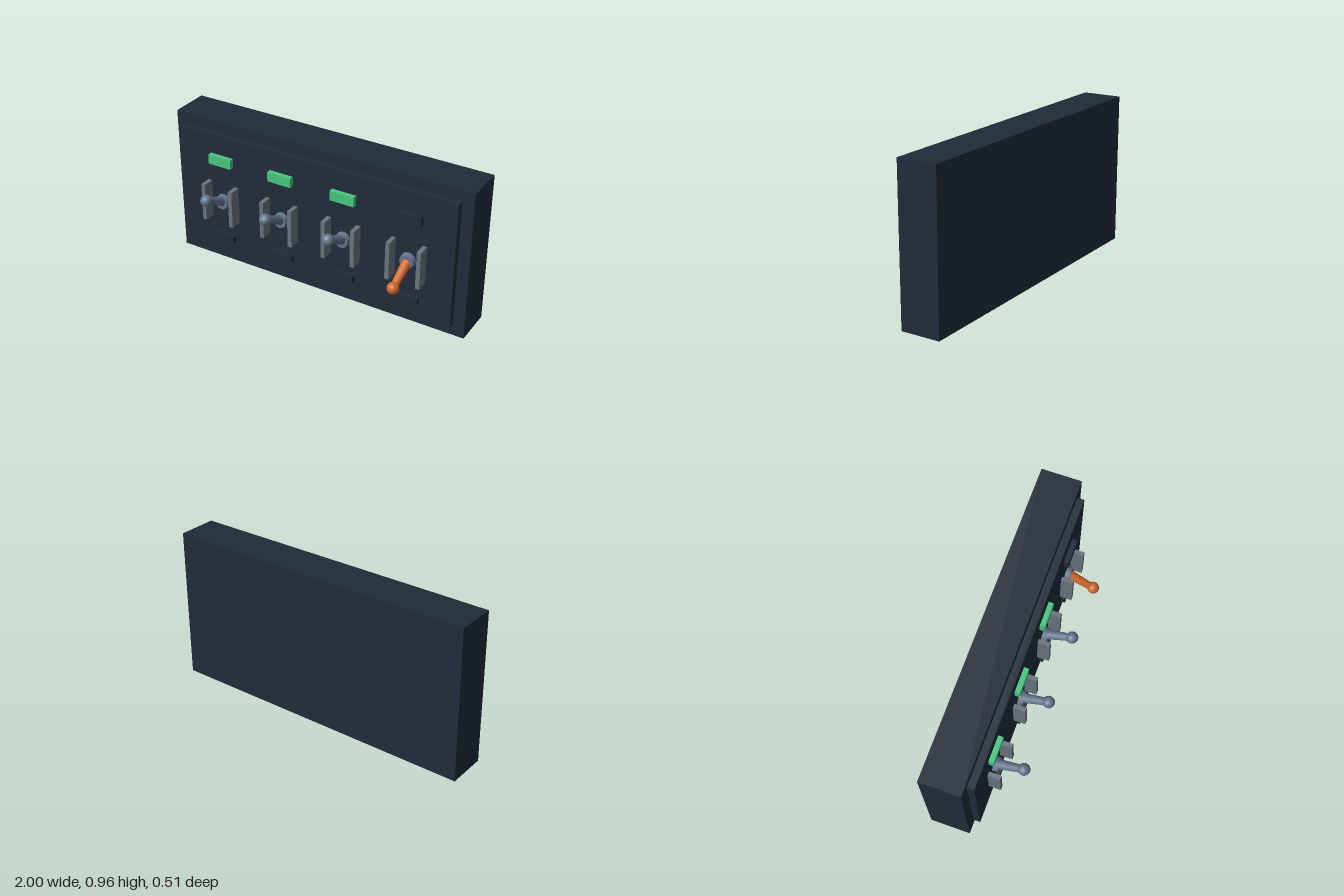
import * as THREE from 'three';

const mat = (name, color) => {
  const m = new THREE.MeshStandardMaterial({ color });
  m.name = name;
  return m;
};

export function createModel() {
  const panel = mat('dark panel', 0x202b39);
  const guardGrey = mat('guard grey', 0x69737f);
  const steel = mat('lever steel', 0x64748b);
  const green = mat('lit green', 0x46c57f);
  const orange = mat('lever orange', 0xd0662a);

  const root = new THREE.Group();
  root.name = 'switchPanel';

  const add = (parent, name, geometry, material, x = 0, y = 0, z = 0) => {
    const mesh = new THREE.Mesh(geometry, material);
    mesh.name = name;
    mesh.position.set(x, y, z);
    parent.add(mesh);
    return mesh;
  };
  // Box given by its centre in x and its extents in y and z
  const slab = (parent, name, material, x, w, y0, y1, z0, z1) =>
    add(parent, name, new THREE.BoxGeometry(w, y1 - y0, z1 - z0), material, x, (y0 + y1) / 2, (z0 + z1) / 2);

  // Housing and raised face plate
  slab(root, 'housing', panel, 0, 2, 0, 0.965, -0.255, -0.005);
  slab(root, 'facePlate', panel, 0, 1.854, 0.073, 0.893, -0.01, 0.039);

  const face = 0.037;
  for (let i = 0; i < 4; i++) {
    const on = i < 3;
    const unit = new THREE.Group();
    unit.name = 'switchUnit' + (i + 1);
    unit.position.x = (i - 1.5) * 0.4285;
    root.add(unit);

    // Indicator lamp above, label plate below
    slab(unit, 'indicator', on ? green : panel, 0, 0.16, 0.704, 0.766, face, 0.07);
    slab(unit, 'labelPlate', panel, 0, 0.16, 0.176, 0.22, face, 0.067);

    // Guards on both sides of the lever
    for (const s of [-1, 1]) slab(unit, 'guard', guardGrey, s * 0.099, 0.027, 0.325, 0.572, face, 0.115);

    // Round collar at the lever base
    const collar = add(unit, 'collar', new THREE.CylinderGeometry(0.043, 0.05, 0.035, 16), steel, 0, 0.449, 0.054);
    collar.rotation.x = Math.PI / 2;

    // Tapered lever with ball tip, tilted up when on and down when off
    const lever = new THREE.Group();
    lever.name = 'lever';
    lever.position.set(0, 0.449, 0.045);
    lever.rotation.x = Math.PI / 2 + (on ? -1 : 1) * 0.476;
    unit.add(lever);
    const colour = on ? steel : orange;
    add(lever, 'leverRod', new THREE.CylinderGeometry(0.022, 0.031, 0.195, 20), colour, 0, 0.0975, 0);
    add(lever, 'leverBall', new THREE.SphereGeometry(0.037, 24, 16), colour, 0, 0.196, 0);
  }
  return root;
}
